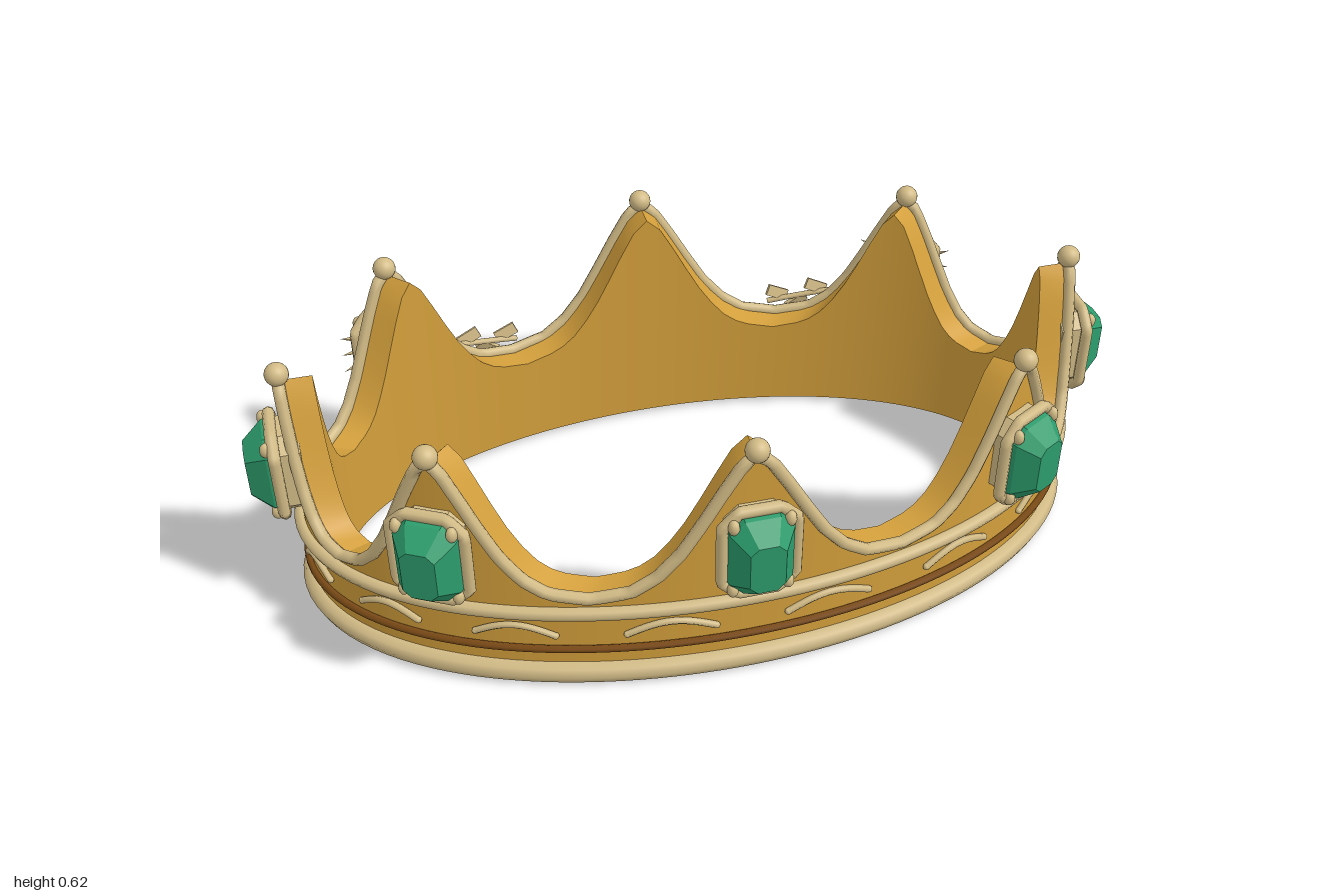
import * as THREE from 'three';
import { toCreasedNormals } from 'three/addons/utils/BufferGeometryUtils.js';

const A = 0.9, B = 0.5, TAU = Math.PI * 2, POINTS = 8;

const mat = (name, color) => Object.assign(new THREE.MeshStandardMaterial({ color }), { name });

// Upper edge of the crown: half of one point, from its tip (0) to the valley (1)
const EDGE = [[0, 0.578], [0.08, 0.56], [0.2, 0.49], [0.32, 0.415], [0.44, 0.345], [0.58, 0.287], [0.74, 0.25], [1, 0.235]];
function edgeY(t) {
  const p = t / TAU * POINTS;
  const d = Math.min(1, Math.abs(p - Math.round(p)) * 2);
  const k = Math.max(1, EDGE.findIndex(e => e[0] >= d));
  const [x0, y0] = EDGE[k - 1], [x1, y1] = EDGE[k];
  return y0 + (y1 - y0) * (d - x0) / (x1 - x0);
}

// Point on the oval at angle t (0 = front, growing towards +x), pushed outward by off
function onOval(t, y, off = 0) {
  const n = new THREE.Vector3(Math.sin(t) / A, 0, Math.cos(t) / B).normalize();
  return new THREE.Vector3(A * Math.sin(t), y, B * Math.cos(t)).addScaledVector(n, off);
}
const facing = t => Math.atan2(Math.sin(t) / A, Math.cos(t) / B);

// Curve that runs round the oval
class OvalCurve extends THREE.Curve {
  constructor(yAt, off, t0 = 0, t1 = TAU) {
    super();
    Object.assign(this, { yAt, off, t0, t1, arcLengthDivisions: 1600 });
  }
  getPoint(u, target = new THREE.Vector3()) {
    const t = this.t0 + (this.t1 - this.t0) * u;
    return target.copy(onOval(t, this.yAt(t, u), this.off));
  }
}

// Skin a list of rings of points; ring direction and stacking set the front side
function skin(rings, closeStack, capEnd, capStart) {
  const pos = [], tri = (...v) => v.forEach(p => pos.push(p.x, p.y, p.z));
  const n = rings[0].length, m = rings.length;
  for (let j = 0; j < (closeStack ? m : m - 1); j++) {
    const lo = rings[j], hi = rings[(j + 1) % m];
    for (let i = 0; i < n; i++) {
      const k = (i + 1) % n;
      tri(lo[i], lo[k], hi[k]);
      tri(lo[i], hi[k], hi[i]);
    }
  }
  for (let i = 1; i < n - 1; i++) {
    if (capEnd) tri(rings[m - 1][0], rings[m - 1][i], rings[m - 1][i + 1]);
    if (capStart) tri(rings[0][0], rings[0][i + 1], rings[0][i]);
  }
  const g = new THREE.BufferGeometry();
  g.setAttribute('position', new THREE.Float32BufferAttribute(pos, 3));
  g.computeVertexNormals();
  return g;
}

// Rectangle with cut corners, counter-clockwise
function octagon(w, h, z) {
  const c = w * 0.45;
  return [[w, c - h], [w, h - c], [w - c, h], [c - w, h], [-w, h - c], [-w, c - h], [c - w, -h], [w - c, -h]]
    .map(([x, y]) => new THREE.Vector3(x, y, z));
}

export function createModel() {
  const crown = new THREE.Group();
  crown.name = 'crown';
  const gold = mat('gold', 0xd4a03c), pale = mat('paleGold', 0xd2bb86);
  const bronze = mat('darkBronze', 0x7a4a16), green = mat('emerald', 0x2c9c6c);

  const add = (parent, name, geo, material, x = 0, y = 0, z = 0) => {
    const m = new THREE.Mesh(geo, material);
    m.name = name;
    m.position.set(x, y, z);
    parent.add(m);
    return m;
  };
  const tube = (curve, r, segs, sides, closed) => new THREE.TubeGeometry(curve, segs, r, sides, closed);

  // Wall with pointed upper edge
  const N = 160, wall = [[], [], [], []];
  for (let i = 0; i < N; i++) {
    const t = i / N * TAU, top = edgeY(t);
    const inner = y => new THREE.Vector3(0.83 * Math.sin(t), y, 0.43 * Math.cos(t));
    wall[0].push(onOval(t, 0.01));
    wall[1].push(onOval(t, top));
    wall[2].push(inner(top));
    wall[3].push(inner(0.01));
  }
  add(crown, 'wall', toCreasedNormals(skin(wall, true), 0.5), gold);

  // Rings round the band, and the wire along the points
  add(crown, 'baseRing', tube(new OvalCurve(() => 0.025, 0), 0.026, 128, 8, true), pale);
  add(crown, 'upperRing', tube(new OvalCurve(() => 0.2, 0.006), 0.016, 128, 8, true), pale);
  add(crown, 'darkRing', tube(new OvalCurve(() => 0.096, 0.006), 0.009, 128, 6, true), bronze);
  add(crown, 'edgeWire', tube(new OvalCurve(t => edgeY(t) + 0.003, 0.002), 0.014, 320, 8, true), pale);

  // Small arches on the band
  for (let i = 0; i < 16; i++) {
    const t = (i + 0.5) / 16 * TAU, half = 0.108;
    const arch = new OvalCurve((_, u) => 0.135 + 0.028 * Math.sin(Math.PI * u), 0.006, t - half, t + half);
    add(crown, 'bandArch', tube(arch, 0.008, 14, 6, false), pale);
    for (const s of [-1, 1]) {
      const p = onOval(t + s * half, 0.135, 0.006);
      add(crown, 'archEnd', new THREE.SphereGeometry(0.008, 8, 6), pale, p.x, p.y, p.z);
    }
  }

  // Shared jewel geometry
  const gemGeo = skin([octagon(0.058, 0.085, 0.02), octagon(0.07, 0.1, 0.04),
    octagon(0.068, 0.097, 0.055), octagon(0.038, 0.06, 0.1)], false, true, true);
  const plateGeo = skin([octagon(0.068, 0.1, -0.02), octagon(0.068, 0.1, 0.03)], false, true, true);
  const rimPath = new THREE.CurvePath(), rim = octagon(0.08, 0.109, 0.036);
  rim.forEach((p, i) => rimPath.add(new THREE.LineCurve3(p, rim[(i + 1) % 8])));
  const rimGeo = tube(rimPath, 0.0135, 64, 8, true);
  const beadGeo = new THREE.SphereGeometry(0.026, 20, 14);
  const prongGeo = new THREE.SphereGeometry(0.014, 10, 8);

  // Tip bead and jewel on every point
  for (let i = 0; i < POINTS; i++) {
    const t = i / POINTS * TAU;
    const tip = onOval(t, 0.594, 0.002);
    add(crown, 'tipBead', beadGeo, pale, tip.x, tip.y, tip.z);

    const jewel = new THREE.Group();
    jewel.name = 'jewel';
    jewel.position.copy(onOval(t, 0.36));
    jewel.rotation.y = facing(t);
    crown.add(jewel);
    add(jewel, 'gem', gemGeo, green);
    add(jewel, 'settingPlate', plateGeo, pale);
    add(jewel, 'settingRim', rimGeo, pale);
    for (const sx of [-1, 1]) for (const sy of [-1, 1]) {
      add(jewel, 'prong', prongGeo, pale, sx * 0.06, sy * 0.085, 0.05).scale.set(0.9, 1.3, 1);
    }

    // Spiky leaves beside the two rear diagonal jewels
    if (i === 3 || i === 5) {
      for (const s of [-1, 1]) for (let k = 0; k < 4; k++) {
        const spike = add(jewel, 'spike', new THREE.ConeGeometry(0.01, 0.055, 4), pale,
          s * 0.088, -0.065 + k * 0.04, 0.05);
        spike.rotation.z = -s * (1.9 - k * 0.25);
      }
    }
  }

  // Leafy sprays running from the rear diagonal jewels towards the back
  for (const s of [-1, 1]) {
    const t0 = Math.PI - s * 0.66, t1 = Math.PI - s * 0.37;
    add(crown, 'sprayStem', tube(new OvalCurve((_, u) => 0.31 - 0.055 * u, 0.022, t0, t1), 0.008, 12, 6, false), pale);
    for (let k = 0; k < 5; k++) {
      const u = 0.1 + k * 0.2, t = t0 + (t1 - t0) * u, up = k % 2 ? -1 : 1;
      const leaf = new THREE.Group();
      leaf.name = 'sprayLeaf';
      leaf.position.copy(onOval(t, 0.305 - 0.05 * u + up * 0.018, 0.026));
      leaf.rotation.y = facing(t);
      crown.add(leaf);
      add(leaf, 'leafBlade', new THREE.BoxGeometry(0.055, 0.028, 0.01), pale)
        .rotation.set(0.3 * up, 0.3 * s, s * (0.45 * up - 0.1));
    }
  }
  return crown;
}
